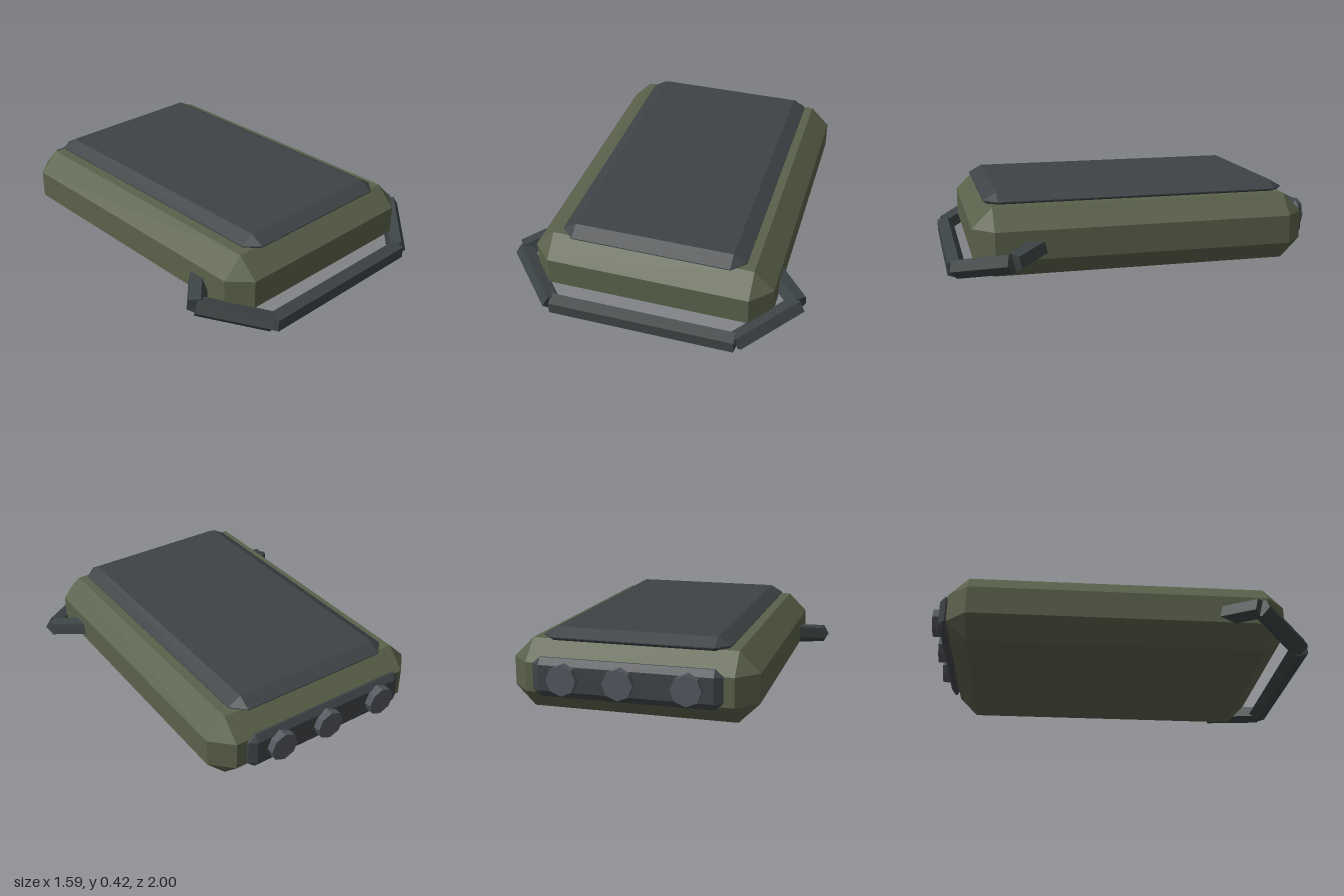
import * as THREE from 'three';
import { ConvexGeometry } from 'three/addons/geometries/ConvexGeometry.js';

const flat = (name, color) => {
  const m = new THREE.MeshStandardMaterial({ color, flatShading: true });
  m.name = name;
  return m;
};

// Box with every edge chamfered; cx, cy, cz are the chamfer depths on each axis
function chamferBox([x0, x1], [y0, y1], [z0, z1], cx, cy, cz) {
  const pts = [];
  for (const [x, sx] of [[x0, 1], [x1, -1]])
    for (const [y, sy] of [[y0, 1], [y1, -1]])
      for (const [z, sz] of [[z0, 1], [z1, -1]])
        pts.push(
          new THREE.Vector3(x, y + sy * cy, z + sz * cz),
          new THREE.Vector3(x + sx * cx, y, z + sz * cz),
          new THREE.Vector3(x + sx * cx, y + sy * cy, z)
        );
  return new ConvexGeometry(pts);
}

export function createModel() {
  const group = new THREE.Group();
  const olive = flat('olive casing', 0x5a614a);
  const charcoal = flat('charcoal panel', 0x3f4346);
  const slate = flat('dark slate handle', 0x3c4344);
  const grey = flat('grey knob', 0x53575e);

  const add = (name, geometry, material) => {
    const mesh = new THREE.Mesh(geometry, material);
    mesh.name = name;
    group.add(mesh);
    return mesh;
  };

  // Casing and the raised panels on its top and back
  add('body', chamferBox([-0.64, 0.64], [0.01, 0.37], [-0.91, 0.87], 0.105, 0.105, 0.105), olive);
  add('topPanel', chamferBox([-0.49, 0.49], [0.34, 0.425], [-0.84, 0.8], 0.07, 0.04, 0.07), charcoal);
  add('backPanel', chamferBox([-0.485, 0.485], [0.105, 0.305], [-0.96, -0.9], 0.04, 0.035, 0.025), charcoal);

  // Row of knobs on the back panel
  for (const x of [-0.32, 0.02, 0.31]) {
    const knob = add('knob', new THREE.CylinderGeometry(0.078, 0.078, 0.06, 8), grey);
    knob.rotation.x = Math.PI / 2;
    knob.position.set(x, 0.208, -0.97);
  }

  // Carrying handle made of straight five-sided bars
  const bar = (name, a, b) => {
    const from = new THREE.Vector3(...a), to = new THREE.Vector3(...b);
    const length = from.distanceTo(to);
    const geometry = new THREE.CylinderGeometry(0.053, 0.053, length, 5).rotateY(Math.PI);
    const mesh = add(name, geometry, slate);
    mesh.position.lerpVectors(from, to, 0.5);
    mesh.quaternion.setFromUnitVectors(new THREE.Vector3(0, 1, 0), to.sub(from).normalize());
  };
  for (const s of [-1, 1]) {
    bar('handleMount', [s * 0.56, 0.18, 0.49], [s * 0.757, 0.14, 0.69]);
    bar('handleSide', [s * 0.757, 0.14, 0.69], [s * 0.495, 0.055, 0.952]);
  }
  bar('handleGrip', [-0.495, 0.052, 0.953], [0.495, 0.052, 0.953]);

  return group;
}
